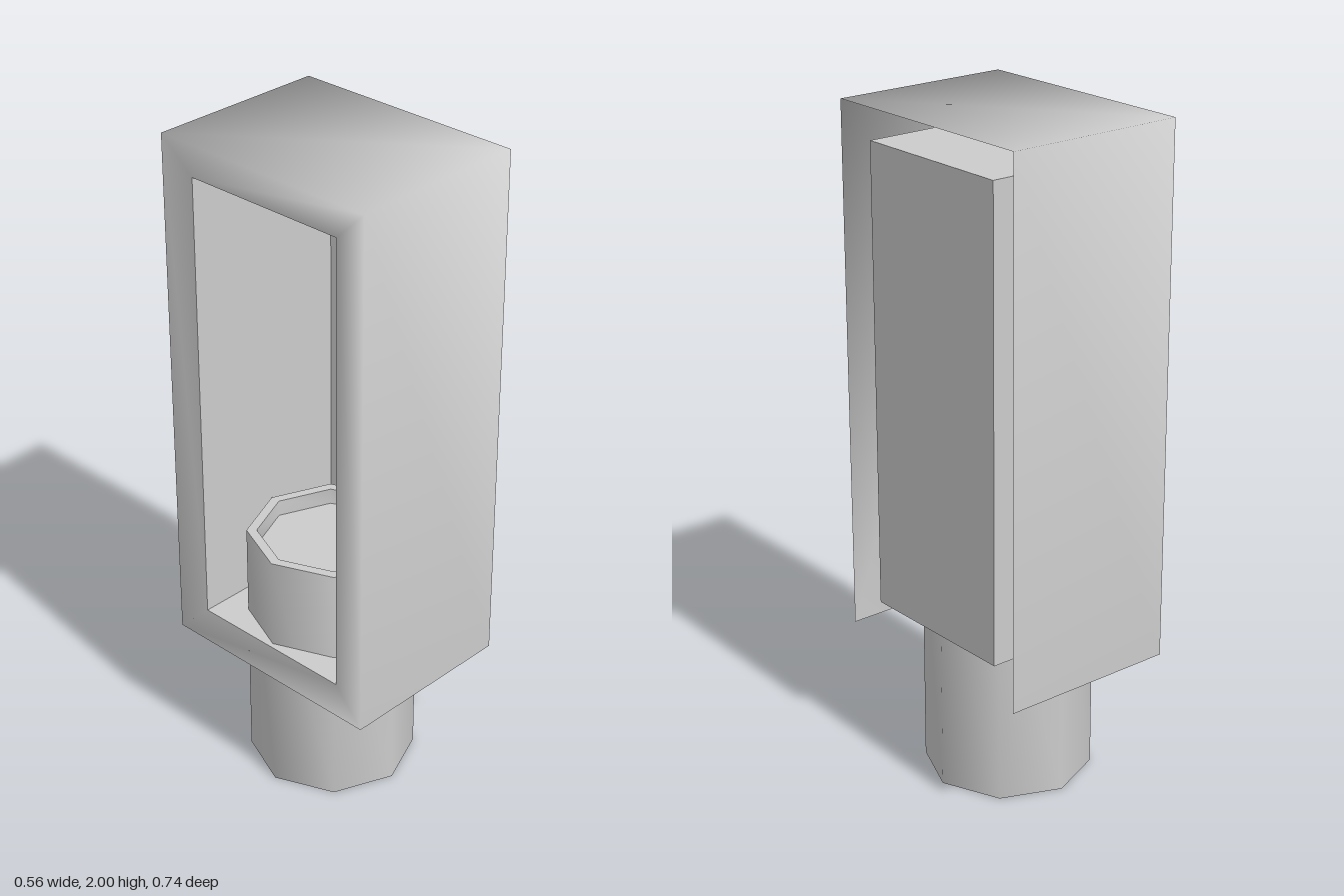
import * as THREE from 'three';
import { toCreasedNormals } from 'three/addons/utils/BufferGeometryUtils.js';

const material = new THREE.MeshStandardMaterial({ color: 0xcccccc, side: THREE.DoubleSide });

// Rectangular cross-section standing across the x axis
const ring = (x, halfZ, y0, y1) => [
  [x, y0, halfZ], [x, y1, halfZ], [x, y1, -halfZ], [x, y0, -halfZ],
];

// Joins successive rings with quads; skip(section, edge) leaves a side open
function loft(rings, { skip = () => false, cap = false } = {}) {
  const index = [];
  const quad = (a, b, c, d) => index.push(a, b, c, a, c, d);
  for (let s = 0; s < rings.length - 1; s++) {
    for (let e = 0; e < 4; e++) {
      if (skip(s, e)) continue;
      const a = s * 4 + e, b = s * 4 + (e + 1) % 4;
      quad(a, b, b + 4, a + 4);
    }
  }
  if (cap) {
    const k = (rings.length - 1) * 4;
    quad(k, k + 1, k + 2, k + 3);
  }
  const g = new THREE.BufferGeometry();
  g.setAttribute('position', new THREE.Float32BufferAttribute(rings.flat(2), 3));
  g.setIndex(index);
  g.computeVertexNormals();
  return g;
}

export function createModel() {
  const model = new THREE.Group();
  model.name = 'boxOnSocket';
  const add = (name, geometry) => {
    const mesh = new THREE.Mesh(geometry, material);
    mesh.name = name;
    model.add(mesh);
    return mesh;
  };

  const opening = ring(-0.27, 0.265, 0.5, 1.9);

  // Thin softly shaded cover: front, top and back walls plus the frame around
  // the opening; its underside and +x side stay open
  add('outerShell', loft(
    [ring(0.28, 0.37, 0.4, 2), ring(-0.28, 0.37, 0.4, 2), opening],
    { skip: (s, e) => s === 0 && e === 3 },
  ));

  // Recessed compartment running in from the opening, with sharp edges
  add('innerCompartment', toCreasedNormals(
    loft([opening, ring(0.26, 0.265, 0.5, 1.9)], { cap: true }), 0.5,
  ));

  // Eight-sided post that rises through the compartment floor, with a dished top
  const profile = [[0, 0], [0.25, 0], [0.25, 0.78], [0.22, 0.78], [0.22, 0.73], [0, 0.73]]
    .map(([r, y]) => new THREE.Vector2(r, y));
  const post = add('socketPost', toCreasedNormals(new THREE.LatheGeometry(profile, 8), Math.PI / 3));
  post.position.set(-0.005, 0, -0.005);

  return model;
}
